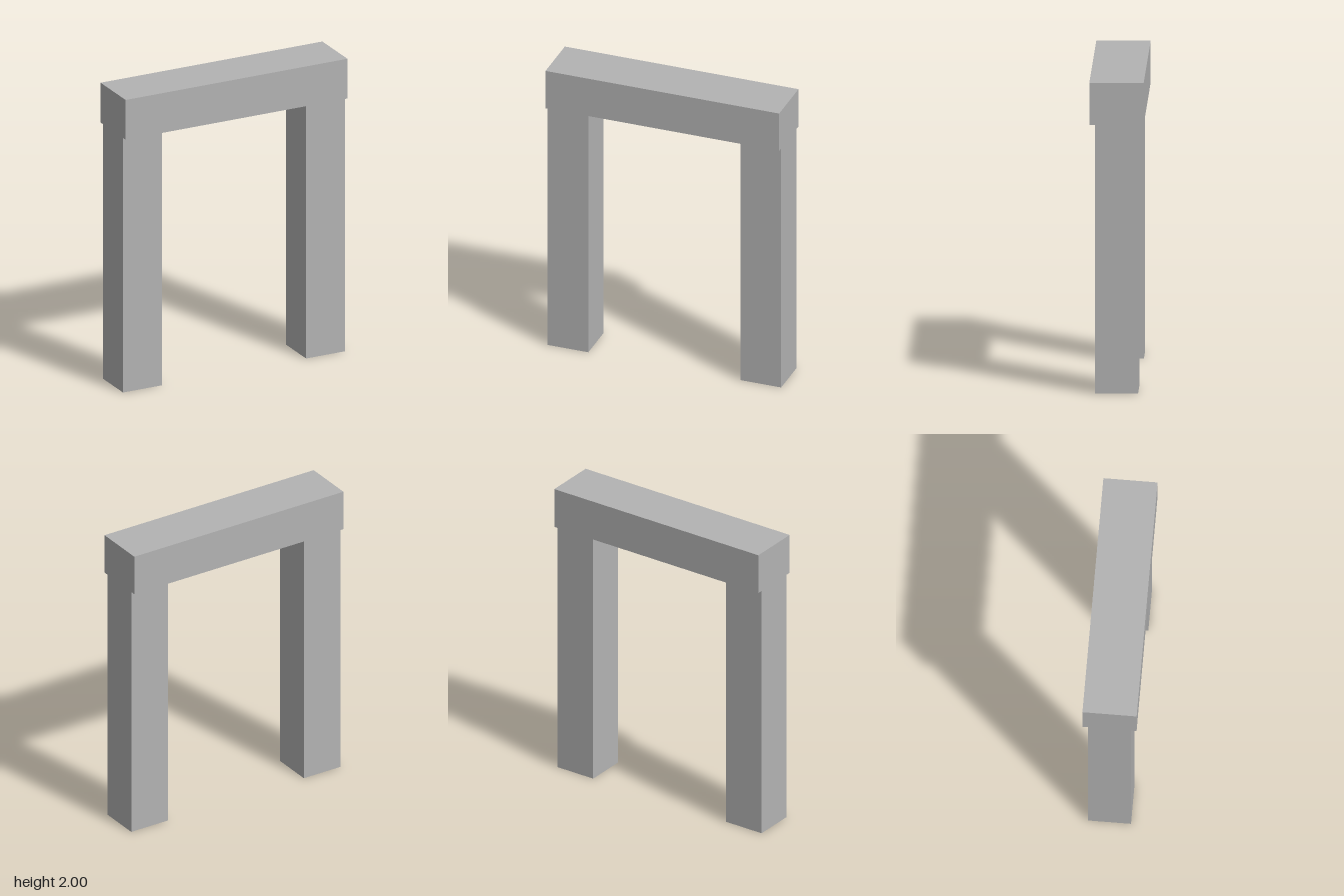
import * as THREE from 'three';

const stone = new THREE.MeshStandardMaterial({ color: 0xb3b3b3 });
stone.name = 'stone grey';

const HEIGHT = 2, LINTEL_BOTTOM = 1.73, HALF_WIDTH = 0.793;
const POST_WIDTH = 0.277, POST_DEPTH = 0.274, LINTEL_DEPTH = 0.345;

// Box standing on the given base height
function block(name, width, height, depth, x, base) {
  const mesh = new THREE.Mesh(new THREE.BoxGeometry(width, height, depth), stone);
  mesh.name = name;
  mesh.position.set(x, base + height / 2, 0);
  return mesh;
}

export function createModel() {
  const gate = new THREE.Group();
  gate.name = 'gateway';

  // Two upright posts, flush with the lintel ends
  for (const [name, side] of [['leftPost', 1], ['rightPost', -1]]) {
    const x = side * (HALF_WIDTH - POST_WIDTH / 2);
    gate.add(block(name, POST_WIDTH, LINTEL_BOTTOM, POST_DEPTH, x, 0));
  }

  // Deeper lintel across the top
  gate.add(block('lintel', HALF_WIDTH * 2, HEIGHT - LINTEL_BOTTOM, LINTEL_DEPTH, 0, LINTEL_BOTTOM));

  return gate;
}
